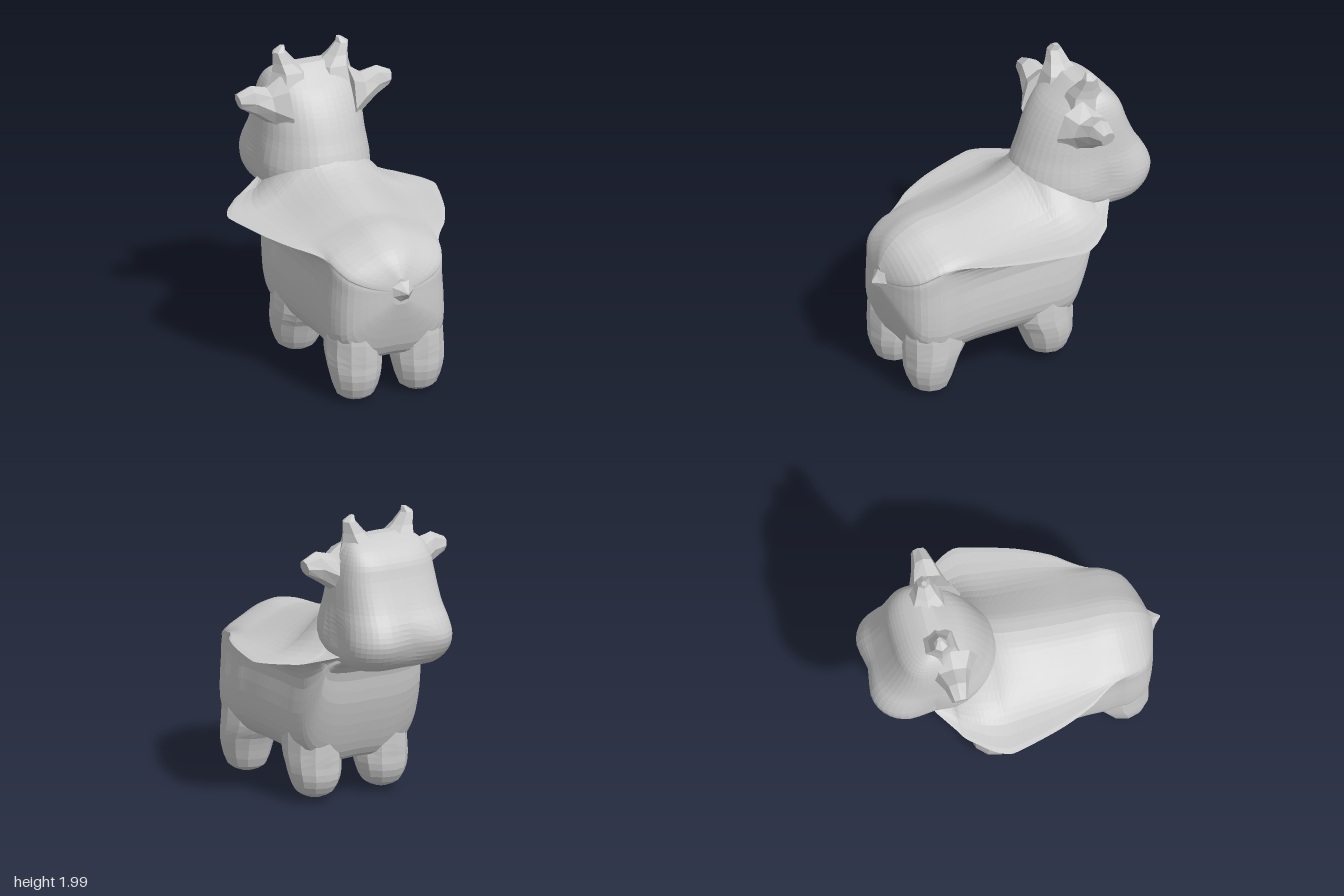
import * as THREE from 'three';

const material = new THREE.MeshStandardMaterial({ color: 0xcccccc, flatShading: true });

// Smoothly interpolate the rows of a station table, n steps per interval
function refine(rows, n) {
  const out = [];
  const last = rows.length - 1;
  for (let i = 0; i < last; i++) {
    const [a, b, c, d] = [i - 1, i, i + 1, i + 2].map((k) => rows[Math.min(last, Math.max(0, k))]);
    for (let s = 0; s < n; s++) {
      const t = s / n;
      out.push(b.map((v, k) => v + 0.5 * t * (c[k] - a[k]
        + t * (2 * a[k] - 5 * v + 4 * c[k] - d[k] + t * (3 * (v - c[k]) + d[k] - a[k])))));
    }
  }
  out.push(rows[last]);
  return out;
}

// Skin a list of closed rings of points and cap both ends
function loft(name, rings) {
  const n = rings[0].length;
  const points = rings.flat();
  const index = [];
  for (let i = 0; i < rings.length - 1; i++) {
    for (let j = 0; j < n; j++) {
      const a = i * n + j, b = i * n + (j + 1) % n;
      index.push(a, b, a + n, b, b + n, a + n);
    }
  }
  [0, rings.length - 1].forEach((r) => {
    const centre = points.length;
    const sum = rings[r].reduce((s, p) => s.add(p), new THREE.Vector3());
    points.push(sum.divideScalar(n));
    for (let j = 0; j < n; j++) {
      const a = r * n + j, b = r * n + (j + 1) % n;
      if (r === 0) index.push(centre, b, a);
      else index.push(centre, a, b);
    }
  });
  // Face outward whichever way the rings run
  let volume = 0;
  const cross = new THREE.Vector3();
  for (let i = 0; i < index.length; i += 3) {
    volume += points[index[i]].dot(cross.crossVectors(points[index[i + 1]], points[index[i + 2]]));
  }
  if (volume < 0) index.reverse();
  const geometry = new THREE.BufferGeometry().setFromPoints(points);
  geometry.setIndex(index);
  geometry.computeVertexNormals();
  const mesh = new THREE.Mesh(geometry, material);
  mesh.name = name;
  return mesh;
}

// Ring of n points from a function of the angle
const ring = (n, at) => Array.from({ length: n }, (_, i) => at((i / n) * Math.PI * 2));

// Body with a thin skirt flaring from both flanks and rising into the neck
function body() {
  // z, top, skirt half width, skirt height, flank half width, underside
  const stations = [
    [0.935, 0.88, 0.05, 0.79, 0.05, 0.7],
    [0.89, 0.97, 0.2, 0.82, 0.21, 0.52],
    [0.82, 1.045, 0.32, 0.87, 0.33, 0.33],
    [0.7, 1.11, 0.38, 0.93, 0.385, 0.27],
    [0.6, 1.135, 0.41, 0.96, 0.39, 0.26],
    [0.5, 1.14, 0.47, 0.975, 0.4, 0.265],
    [0.4, 1.145, 0.54, 0.985, 0.4, 0.27],
    [0.2, 1.185, 0.63, 0.995, 0.41, 0.27],
    [0, 1.235, 0.69, 1, 0.415, 0.265],
    [-0.12, 1.3, 0.72, 1.003, 0.42, 0.26],
    [-0.2, 1.4, 0.73, 1.005, 0.425, 0.26],
    [-0.3, 1.48, 0.685, 1.01, 0.42, 0.3],
    [-0.38, 1.5, 0.62, 1.015, 0.4, 0.47],
    [-0.45, 1.5, 0.56, 1.02, 0.37, 0.7],
    [-0.49, 1.46, 0.5, 1.03, 0.34, 0.92],
    [-0.6, 1.35, 0.35, 1.07, 0.3, 1.01],
  ];
  const rings = refine(stations, 3).map(([z, top, w, edge, b, low]) => {
    const rise = top - edge, d = edge - low, flare = w - b;
    const half = [
      [0, top], [b * 0.25, edge + rise * 0.91], [b * 0.52, edge + rise * 0.66],
      [b * 0.92, edge + rise * 0.24], [b + flare * 0.35, edge + rise * 0.06], [w, edge],
      [b + flare * 0.3, edge - d * 0.05], [b, edge - d * 0.2], [b * 1.03, edge - d * 0.52],
      [b, edge - d * 0.76], [b * 0.84, edge - d * 0.91], [b * 0.5, low], [0, low],
    ];
    const side = new THREE.CatmullRomCurve3(half.map(([x, y]) => new THREE.Vector3(x, y, z)));
    const left = side.getPoints(36);
    const right = left.slice(1, -1).reverse().map((p) => new THREE.Vector3(-p.x, p.y, z));
    return [...left, ...right];
  });
  return loft('body', rings);
}

// Head and neck: level slices, square at the muzzle and round at the nape
function head() {
  // y, nape z, face z, half width
  const slices = [
    [0.995, -0.42, -0.78, 0.22],
    [1.02, -0.3, -0.88, 0.32],
    [1.1, -0.14, -0.965, 0.38],
    [1.2, -0.1, -1.005, 0.39],
    [1.3, -0.12, -0.975, 0.375],
    [1.4, -0.16, -0.91, 0.355],
    [1.5, -0.2, -0.86, 0.345],
    [1.6, -0.25, -0.82, 0.335],
    [1.7, -0.32, -0.785, 0.315],
    [1.78, -0.41, -0.72, 0.28],
    [1.83, -0.47, -0.64, 0.225],
    [1.853, -0.5, -0.58, 0.13],
  ];
  const rings = refine(slices, 3).map(([y, back, front, w]) => {
    const mid = back + (front - back) * 0.55;
    const muzzle = Math.exp(-(((y - 1.17) / 0.16) ** 2));
    return ring(44, (a) => {
      const c = Math.cos(a), s = Math.sin(a);
      const power = s > 0 ? 0.62 : 0.95;
      const x = Math.sign(c) * Math.abs(c) ** power * w;
      const reach = Math.abs(s) ** power * (s > 0 ? front - mid : back - mid);
      // Slight dent down the middle of the muzzle, and hollow cheeks behind it
      const dent = s > 0 ? 0.05 * muzzle * s * Math.exp(-((x / 0.14) ** 2)) : 0;
      const z = mid + reach;
      const cheek = 1 - 0.1 * muzzle * Math.exp(-(((z + 0.6) / 0.12) ** 2));
      return new THREE.Vector3(x * cheek, y, z + dent);
    });
  });
  return loft('head', rings);
}

// Leg: stubby faceted foot, merging into the flank above
function leg(name, side, x, z, foot, inward) {
  // y, x radius, z radius, shift toward the belly
  const levels = [
    [foot, 0.05, 0.05, 0],
    [foot + 0.04, 0.125, 0.125, 0],
    [0.16, 0.165, 0.17, 0],
    [0.25, 0.18, 0.19, 0.015],
    [0.34, 0.18, 0.22, 0.04],
    [0.5, 0.17, 0.22, 0.05],
    [0.7, 0.14, 0.17, 0.07],
    [0.85, 0.08, 0.1, 0.08],
  ];
  const rings = refine(levels, 2).map(([y, rx, rz, shift]) => ring(12, (a) =>
    new THREE.Vector3(side * (x + rx * Math.cos(a)), y, z + inward * shift + rz * Math.sin(a))));
  return loft(name, rings);
}

// Blunt ear reaching outward from a broad base
function ear(side) {
  // x, y, half height, z, half depth
  const stations = [
    [0.22, 1.57, 0.24, -0.47, 0.19],
    [0.32, 1.61, 0.13, -0.475, 0.125],
    [0.43, 1.665, 0.105, -0.475, 0.08],
    [0.53, 1.672, 0.05, -0.48, 0.052],
  ];
  const rings = stations.map(([x, y, h, z, d]) => ring(8, (a) =>
    new THREE.Vector3(side * (x + 0.012 * Math.sin(a)), y + h * Math.sin(a), z + d * Math.cos(a))));
  return loft('ear', rings);
}

// Short horn with a broad foot and faceted tip
function horn(side) {
  // y, x, radius
  const stations = [[1.72, 0.15, 0.15], [1.82, 0.155, 0.115], [1.88, 0.188, 0.077], [1.955, 0.222, 0.046], [1.992, 0.2, 0.018]];
  const rings = stations.map(([y, x, r]) => ring(6, (a) =>
    new THREE.Vector3(side * (x + r * Math.cos(a)), y, -0.53 + r * Math.sin(a))));
  return loft('horn', rings);
}

// Tiny pointed tail
function tail() {
  const stations = [[0.87, 0, 0.16], [0.92, 0.005, 0.09], [0.96, 0.015, 0.042], [1, 0.02, 0.006]];
  const rings = stations.map(([z, x, r]) => ring(7, (a) =>
    new THREE.Vector3(x + r * Math.cos(a), 0.79 + r * Math.sin(a), z)));
  return loft('tail', rings);
}

export function createModel() {
  const model = new THREE.Group();
  model.name = 'hornedCalf';
  model.add(body(), head(), tail());
  for (const side of [1, -1]) {
    model.add(
      leg('frontLeg', side, 0.255, -0.175, 0.03, 1),
      leg('hindLeg', side, 0.22, 0.685, 0, -1),
      ear(side),
      horn(side),
    );
  }
  return model;
}
